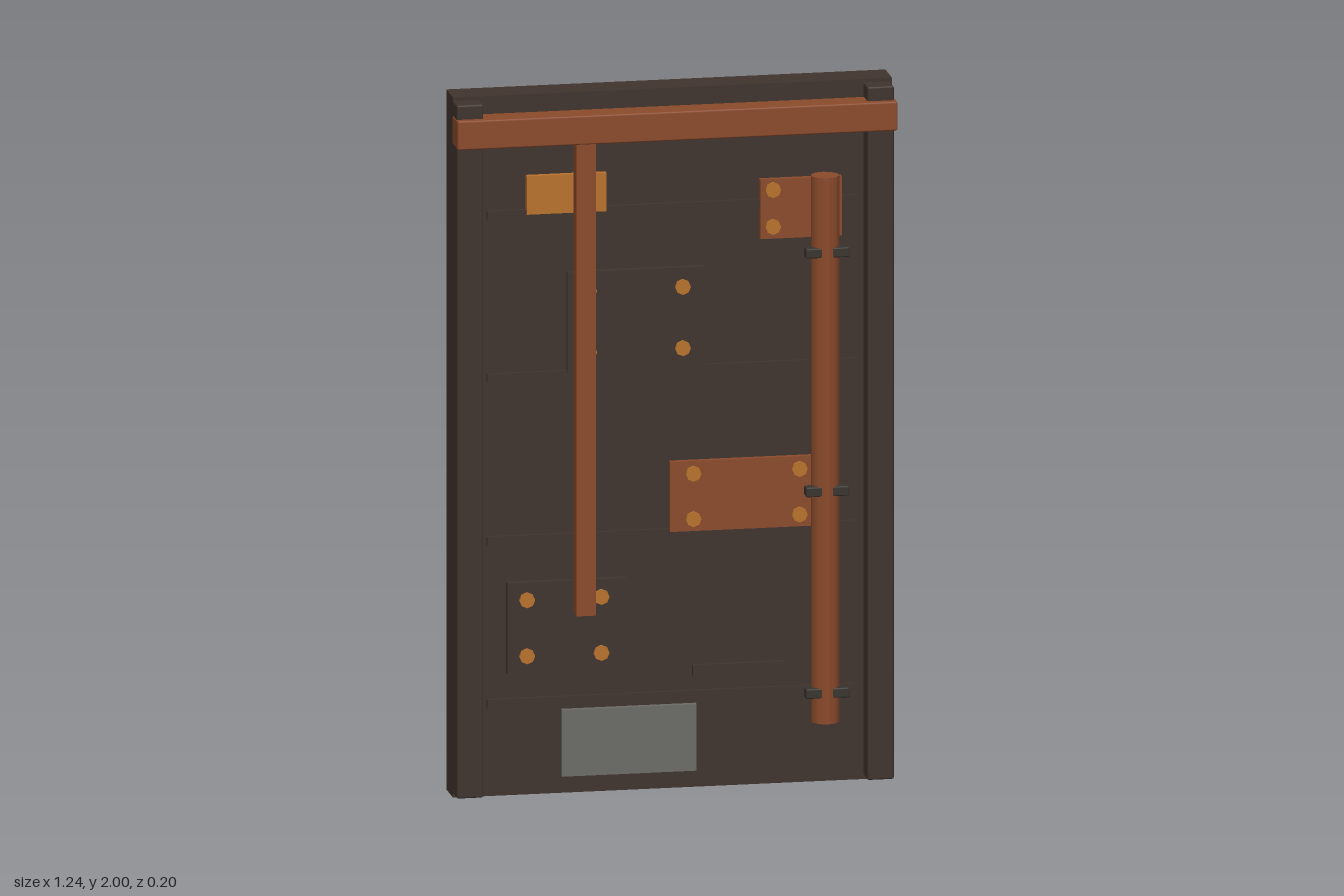
import * as THREE from 'three';
import { RoundedBoxGeometry } from 'three/addons/geometries/RoundedBoxGeometry.js';

const mat = (name, color) => {
  const m = new THREE.MeshStandardMaterial({ color });
  m.name = name;
  return m;
};

export function createModel() {
  const model = new THREE.Group();
  model.name = 'wallPanel';
  const dark = mat('darkIron', 0x40342d);
  const rust = mat('rust', 0x8b4a2b);
  const copper = mat('copper', 0xb8722c);
  const grey = mat('greySteel', 0x6b6b66);
  const clampIron = mat('clampIron', 0x39332e);

  const add = (name, geometry, material, x, y, z) => {
    const mesh = new THREE.Mesh(geometry, material);
    mesh.name = name;
    mesh.position.set(x, y, z);
    model.add(mesh);
    return mesh;
  };
  // Box given by its limits on each axis; an optional bevel softens the edges
  const block = (name, material, [x0, x1], [y0, y1], [z0, z1], bevel = 0) => {
    const size = [x1 - x0, y1 - y0, z1 - z0];
    const geometry = bevel ? new RoundedBoxGeometry(...size, 1, bevel) : new THREE.BoxGeometry(...size);
    return add(name, geometry, material, (x0 + x1) / 2, (y0 + y1) / 2, (z0 + z1) / 2);
  };

  // Main slab and edge posts
  block('slab', dark, [-0.62, 0.62], [0, 2], [-0.098, 0]);
  block('rightPost', dark, [-0.62, -0.545], [0.01, 1.99], [-0.01, 0.058], 0.005);
  block('leftPost', dark, [0.54, 0.615], [0.01, 1.99], [-0.01, 0.058], 0.005);

  // Top beam and hanging strut
  block('topBeam', rust, [-0.622, 0.622], [1.867, 1.95], [0, 0.078], 0.005);
  block('strut', rust, [-0.285, -0.23], [0.52, 1.87], [0.03, 0.074]);

  // Horizontal seams and a short slot
  for (const y of [0.265, 0.73, 1.195, 1.66]) {
    block('seam', dark, [-0.525, 0.52], [y - 0.0125, y + 0.0125], [-0.005, 0.01]);
  }
  block('slot', dark, [0.055, 0.315], [0.32, 0.35], [-0.005, 0.012]);

  // Patch plates: limits, then bolt columns and rows
  const boltGeometry = new THREE.CylinderGeometry(0.022, 0.022, 0.014, 8).rotateX(Math.PI / 2);
  const plates = [
    ['copperPatch', copper, [-0.415, -0.19], [1.66, 1.77], [], []],
    ['upperRustPatch', rust, [0.245, 0.475], [1.56, 1.73], [0.28, 0.44], [1.595, 1.7]],
    ['upperDarkPatch', dark, [-0.3, 0.085], [1.2, 1.49], [-0.24, 0.025], [1.26, 1.435]],
    ['lowerRustPatch', rust, [-0.01, 0.42], [0.735, 0.935], [0.055, 0.355], [0.77, 0.9]],
    ['lowerDarkPatch', dark, [-0.47, -0.135], [0.35, 0.61], [-0.415, -0.205], [0.4, 0.56]],
    ['greyPlate', grey, [-0.315, 0.065], [0.05, 0.24], [], []],
  ];
  for (const [name, material, xs, ys, columns, rows] of plates) {
    block(name, material, xs, ys, [-0.005, 0.018]);
    for (const x of columns) for (const y of rows) add('bolt', boltGeometry, copper, x, y, 0.02);
  }

  // Vertical pipe and its clamps
  const pipe = new THREE.CylinderGeometry(0.04, 0.04, 1.56, 10);
  add('pipe', pipe, rust, 0.42, 0.965, 0.058);
  for (const y of [0.272, 0.848, 1.53]) {
    block('clamp', clampIron, [0.36, 0.483], [y - 0.014, y + 0.014], [0.058, 0.093], 0.004);
  }

  return model;
}
